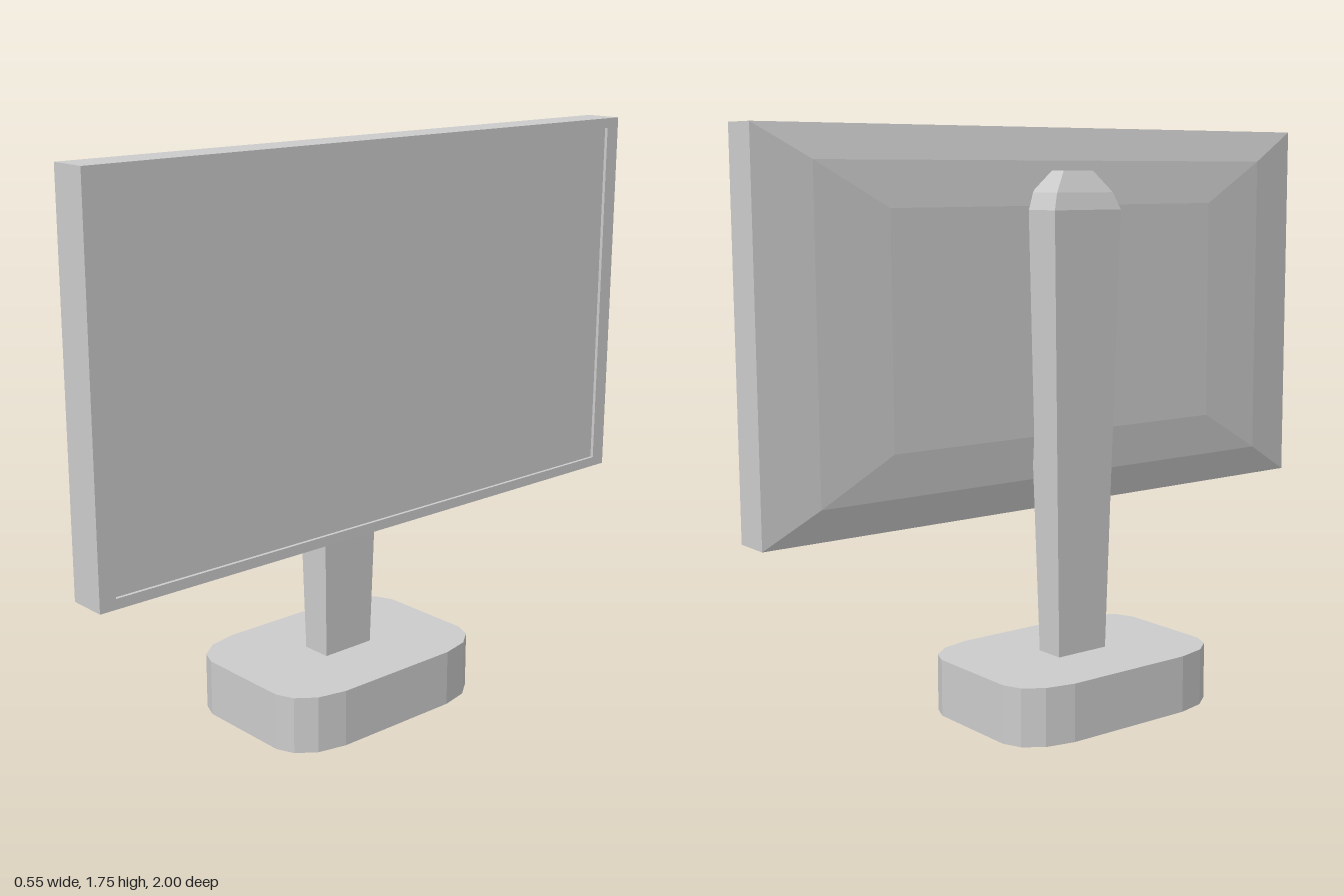
import * as THREE from 'three';

const material = new THREE.MeshStandardMaterial({ color: 0xcccccc, flatShading: true });

// Rectangular loft along y; each ring is [y, half width x, half depth z]
function loft(rings, capTop) {
  const corners = [[1, -1], [1, 1], [-1, 1], [-1, -1]];
  const loops = rings.map(([y, w, d]) => corners.map(([sx, sz]) => [sx * w, y, sz * d]));
  const pos = [];
  const quad = (a, b, c, d) => pos.push(...a, ...b, ...c, ...a, ...c, ...d);
  for (let i = 0; i < loops.length - 1; i++) {
    const a = loops[i], b = loops[i + 1];
    for (let j = 0; j < 4; j++) {
      const k = (j + 1) % 4;
      quad(a[j], b[j], b[k], a[k]);
    }
  }
  quad(...loops[0]);
  if (capTop) quad(...loops[loops.length - 1].slice().reverse());
  const geo = new THREE.BufferGeometry();
  geo.setAttribute('position', new THREE.Float32BufferAttribute(pos, 3));
  geo.computeVertexNormals();
  return geo;
}

function addPart(parent, name, geometry) {
  const mesh = new THREE.Mesh(geometry, material);
  mesh.name = name;
  parent.add(mesh);
  return mesh;
}

export function createModel() {
  const model = new THREE.Group();
  model.name = 'monitor';

  // Base: a slab with faceted round corners, mirrored from one quarter
  const quarter = [[0.273, 0.21], [0.253, 0.3], [0.21, 0.357], [0.155, 0.38]];
  const flipped = quarter.slice().reverse();
  const outline = [
    ...quarter,
    ...flipped.map(([x, z]) => [-x, z]),
    ...quarter.map(([x, z]) => [-x, -z]),
    ...flipped.map(([x, z]) => [x, -z]),
  ].map(([x, z]) => new THREE.Vector2(x, z));
  const baseGeo = new THREE.ExtrudeGeometry(new THREE.Shape(outline), { depth: 0.175, bevelEnabled: false });
  baseGeo.rotateX(-Math.PI / 2);
  addPart(model, 'base', baseGeo);

  // Stand: widens upward and ends in a chamfered cap
  addPart(model, 'stand', loft([
    [0.17, 0.048, 0.09],
    [1.515, 0.074, 0.124],
    [1.565, 0.06, 0.105],
    [1.628, 0.028, 0.055],
  ], true));

  // Display: swollen back, straight sides, bezel and recess; it faces +x
  const H = 0.572, W = 1, bezelY = 0.03, bezelZ = 0.05;
  const front = 0.208, recess = 0.198;
  const display = new THREE.Group();
  display.name = 'display';
  display.position.y = 1.183;
  model.add(display);

  const housing = loft([
    [0.05, H * 0.6, W * 0.6],
    [0.064, H * 0.83, W * 0.83],
    [0.09, H, W],
    [front, H, W],
    [front, H - bezelY, W - bezelZ],
    [recess, H - bezelY, W - bezelZ],
  ], false);
  housing.rotateZ(-Math.PI / 2);
  addPart(display, 'housing', housing);

  const screen = new THREE.PlaneGeometry(2 * (W - bezelZ), 2 * (H - bezelY));
  screen.rotateY(Math.PI / 2);
  addPart(display, 'screen', screen).position.x = recess;

  return model;
}
